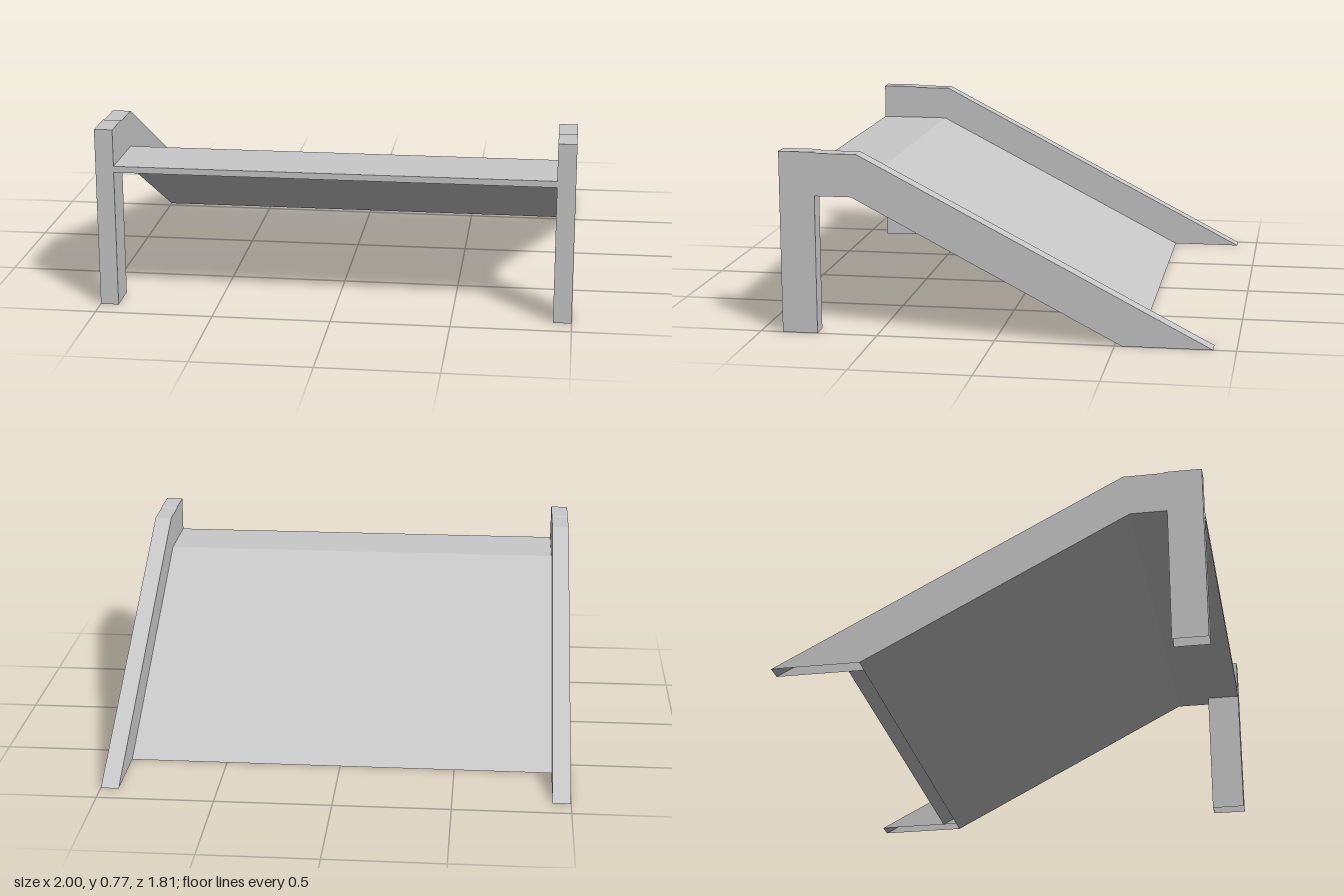
import * as THREE from 'three';

const metal = new THREE.MeshStandardMaterial({ color: 0xc8c8c8, side: THREE.DoubleSide });
metal.name = 'plain grey';

// Extrudes a [z, y] profile from x0 to x1, leaving the ends on the ground open
function profilePart(name, points, x0, x1) {
  const shape = new THREE.Shape(points.map(([z, y]) => new THREE.Vector2(z, y)));
  const solid = new THREE.ExtrudeGeometry(shape, { depth: x1 - x0, bevelEnabled: false });
  solid.rotateY(-Math.PI / 2).translate(x1, 0, 0);
  const p = solid.attributes.position;
  const kept = [];
  for (let i = 0; i < p.count; i += 3) {
    const onGround = [0, 1, 2].every((k) => p.getY(i + k) < 1e-4);
    if (onGround) continue;
    for (let k = 0; k < 3; k++) kept.push(p.getX(i + k), p.getY(i + k), p.getZ(i + k));
  }
  const geometry = new THREE.BufferGeometry();
  geometry.setAttribute('position', new THREE.Float32BufferAttribute(kept, 3));
  geometry.computeVertexNormals();
  const mesh = new THREE.Mesh(geometry, metal);
  mesh.name = name;
  return mesh;
}

export function createModel() {
  const group = new THREE.Group();
  group.name = 'ramp';

  // Side frames: front leg, short level top and long sloping rail
  const frame = [
    [0.905, 0], [0.905, 0.773], [0.75, 0.773], [0.74, 0.768], [0.575, 0.768],
    [-0.905, 0], [-0.53, 0], [0.6, 0.588], [0.755, 0.588], [0.755, 0],
  ];
  group.add(profilePart('leftFrame', frame, 0.923, 1));
  group.add(profilePart('rightFrame', frame, -1, -0.923));

  // Thin deck between the frames, level at the front and sloping to the ground
  const deck = [
    [0.905, 0.588], [0.905, 0.615], [0.593, 0.615],
    [-0.595, 0], [-0.53, 0], [0.6, 0.588],
  ];
  group.add(profilePart('deck', deck, -0.923, 0.923));

  return group;
}
